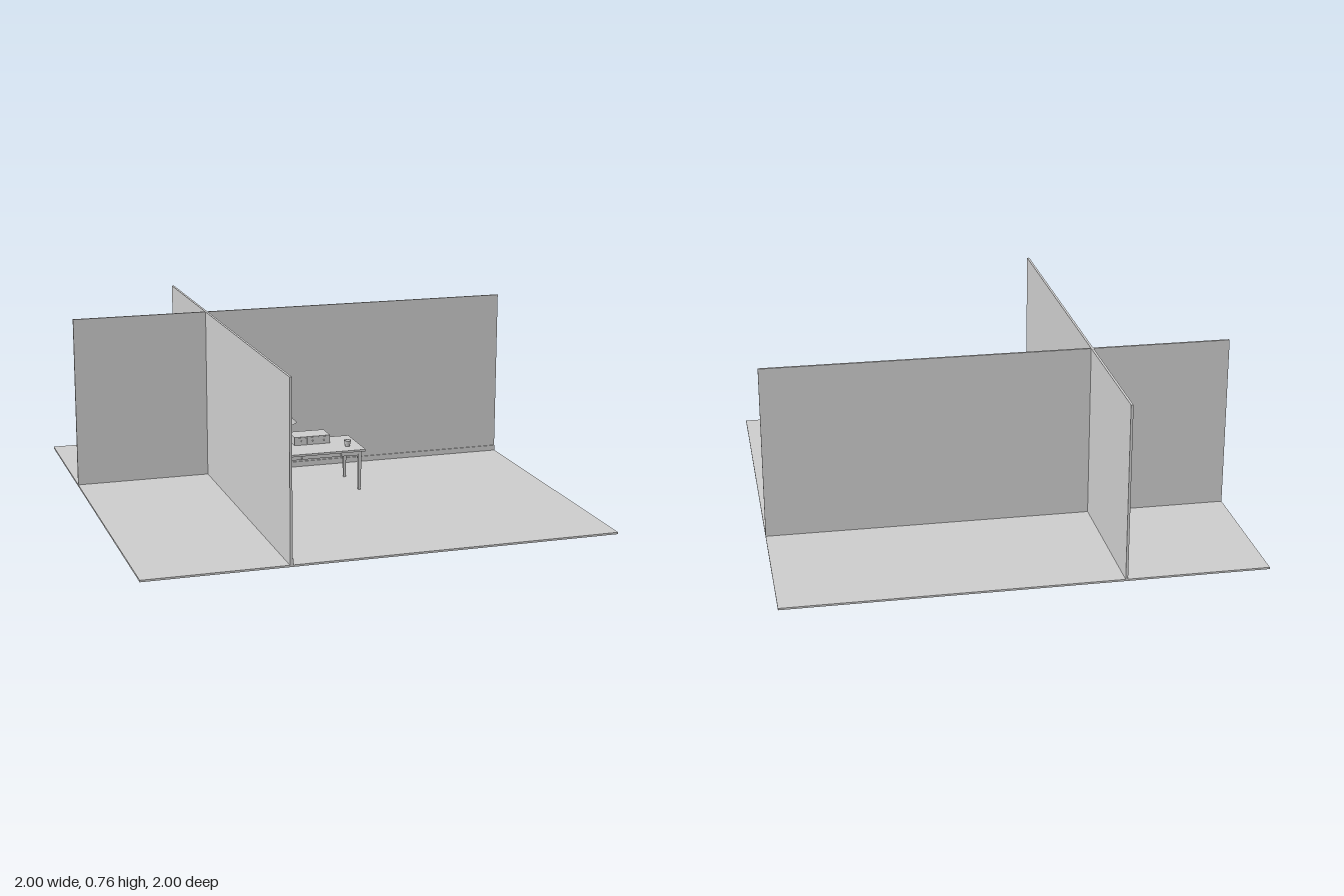
import * as THREE from 'three';

export function createModel() {
  const model = new THREE.Group();
  const grey = new THREE.MeshStandardMaterial({ color: 0xcccccc });
  grey.name = 'plain grey';
  const hollow = new THREE.MeshStandardMaterial({ color: 0xcccccc, side: THREE.DoubleSide });
  hollow.name = 'plain grey, open surfaces';

  const group = (name) => {
    const g = new THREE.Group();
    g.name = name;
    model.add(g);
    return g;
  };
  const add = (parent, name, geometry, x = 0, y = 0, z = 0, material = grey) => {
    const m = new THREE.Mesh(geometry, material);
    m.name = name;
    m.position.set(x, y, z);
    parent.add(m);
    return m;
  };
  const box = (parent, name, w, h, d, x, y, z) =>
    add(parent, name, new THREE.BoxGeometry(w, h, d), x, y, z);
  const ball = (parent, name, r, x, y, z) =>
    add(parent, name, new THREE.SphereGeometry(r, 12, 8), x, y, z);
  const rod = (parent, name, a, b, r) => {
    const dir = b.clone().sub(a);
    const m = add(parent, name, new THREE.CylinderGeometry(r, r, dir.length(), 10));
    m.position.copy(a).add(b).multiplyScalar(0.5);
    m.quaternion.setFromUnitVectors(new THREE.Vector3(0, 1, 0), dir.normalize());
    return m;
  };

  // Floor and the two crossing walls, with skirting in the furnished corner
  const FLOOR = 0.008, WALL_H = 0.752, WX = -0.4, WZ = -0.332;
  const room = group('room');
  box(room, 'floor', 2, FLOOR, 2, 0, FLOOR / 2, 0);
  box(room, 'sideWall', 0.01, WALL_H, 2, WX, FLOOR + WALL_H / 2, 0);
  box(room, 'backWall', 2, WALL_H, 0.01, 0, FLOOR + WALL_H / 2, WZ);
  box(room, 'sideSkirting', 0.005, 0.024, 1 - WZ, WX + 0.0073, FLOOR + 0.012, (1 + WZ) / 2);
  box(room, 'backSkirting', 1 - WX, 0.024, 0.005, (1 + WX) / 2, FLOOR + 0.012, WZ + 0.0073);

  // Table top and tapered legs
  const table = group('table');
  const TOP = 0.195, LX = 0.177, LZ = 0.106;
  box(table, 'tableTop', 0.4, 0.009, 0.25, 0, TOP - 0.0045, 0);
  const legH = TOP - 0.009 - FLOOR;
  const leg = new THREE.CylinderGeometry(0.0115, 0.0075, legH, 4).rotateY(Math.PI / 4).toNonIndexed();
  leg.computeVertexNormals();
  for (const sx of [-1, 1]) for (const sz of [-1, 1]) add(table, 'leg', leg, sx * LX, FLOOR + legH / 2, sz * LZ);

  // Aprons with small curved brackets at each end
  const apron = (length) => {
    const h = length / 2, s = new THREE.Shape();
    s.moveTo(-h, 0.02);
    s.lineTo(-h, -0.026);
    s.quadraticCurveTo(-h + 0.003, 0, -h + 0.014, 0);
    s.lineTo(h - 0.014, 0);
    s.quadraticCurveTo(h - 0.003, 0, h, -0.026);
    s.lineTo(h, 0.02);
    const g = new THREE.ExtrudeGeometry(s, { depth: 0.008, bevelEnabled: false, curveSegments: 6 });
    return g.translate(0, 0, -0.004);
  };
  for (const s of [-1, 1]) {
    add(table, 'longApron', apron(LX * 2 - 0.012), 0, 0.167, s * LZ);
    add(table, 'shortApron', apron(LZ * 2 - 0.012).rotateY(Math.PI / 2), s * LX, 0.167, 0);
    ball(table, 'drawerKnob', 0.004, s * 0.09, 0.176, LZ + 0.007);
  }

  // Desktop organiser with three small drawers
  const chest = group('drawerBox');
  const CW = 0.164, CH = 0.037, CZ = -0.073;
  box(chest, 'drawerBoxBody', CW, CH, 0.1, 0, TOP + CH / 2, CZ);
  for (let i = -1; i <= 1; i++) {
    box(chest, 'smallDrawer', 0.048, 0.029, 0.003, i * 0.052, TOP + CH / 2, CZ + 0.051);
    ball(chest, 'smallKnob', 0.0035, i * 0.052, TOP + CH / 2, CZ + 0.055);
  }

  // Cup
  const cup = [[0, 0], [0.011, 0], [0.011, 0.003], [0.013, 0.012], [0.0165, 0.027], [0.0145, 0.027], [0.0105, 0.005], [0, 0.004]];
  add(group('cup'), 'cupBody',
    new THREE.LatheGeometry(cup.map((p) => new THREE.Vector2(...p)), 20), 0.14, TOP, 0.05, hollow);

  // Desk lamp: base, two arms, joint and tilted shade
  const lamp = group('deskLamp');
  const foot = new THREE.Vector3(-0.156, TOP + 0.004, -0.075);
  const elbow = new THREE.Vector3(-0.166, 0.289, -0.056);
  const head = new THREE.Vector3(-0.109, 0.314, -0.008);
  add(lamp, 'lampBase', new THREE.CylinderGeometry(0.018, 0.02, 0.006, 24), foot.x, TOP + 0.003, foot.z);
  rod(lamp, 'lowerArm', foot, elbow, 0.0028);
  rod(lamp, 'upperArm', elbow, head, 0.0028);
  ball(lamp, 'elbowJoint', 0.0045, elbow.x, elbow.y, elbow.z);
  const shade = [[0.017, -0.016], [0.013, -0.004], [0.006, 0.007], [0.005, 0.016], [0, 0.017]];
  const shadeMesh = add(lamp, 'lampShade',
    new THREE.LatheGeometry(shade.map((p) => new THREE.Vector2(...p)), 20), -0.101, 0.318, 0, hollow);
  shadeMesh.rotation.set(-0.15, 0, 0.35);
  ball(lamp, 'bulb', 0.007, -0.099, 0.311, 0.001);

  return model;
}
